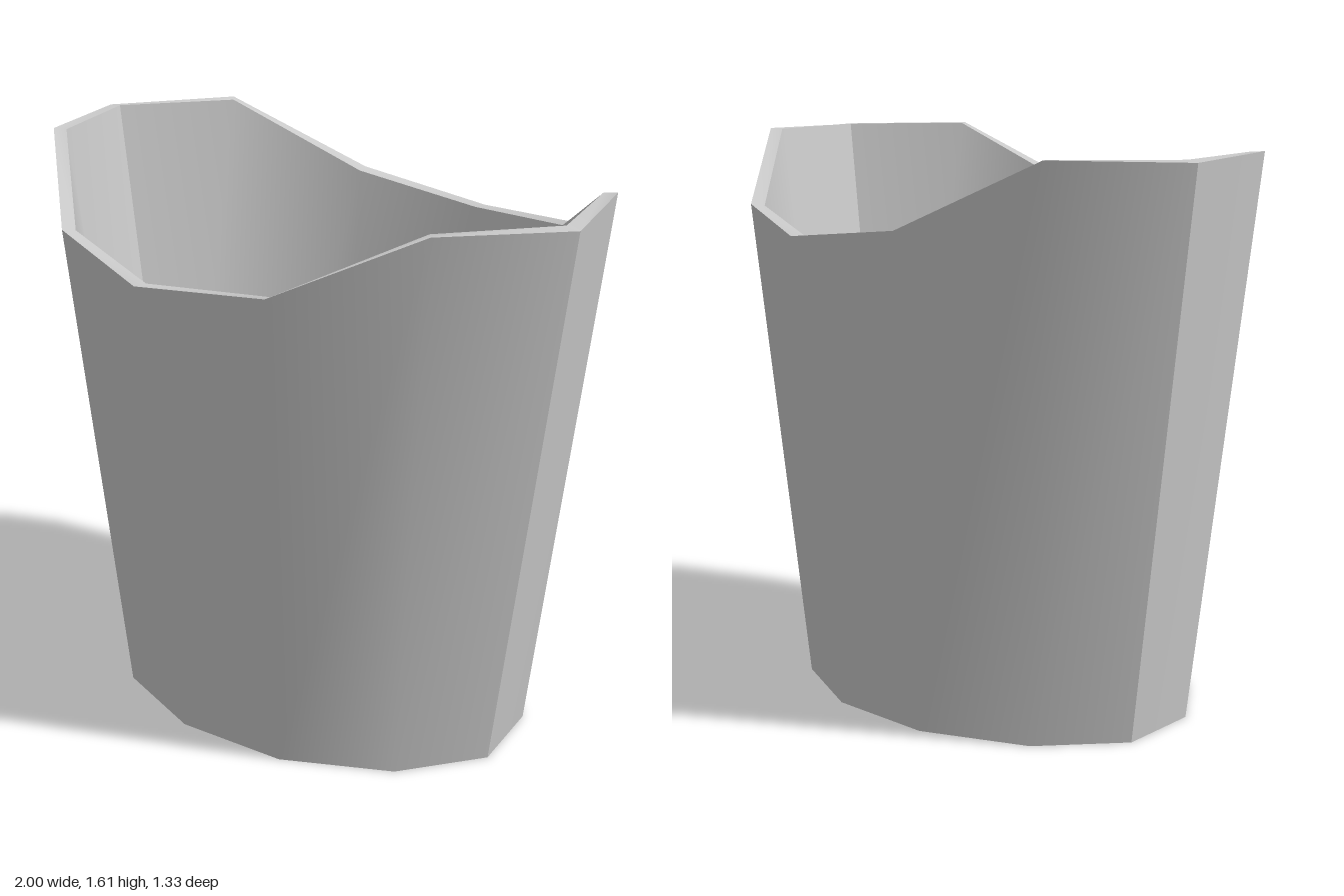
import * as THREE from 'three';
import { toCreasedNormals } from 'three/addons/utils/BufferGeometryUtils.js';

const SIDES = 12;

// Mirrors a quarter outline (from the +x tip to the +z middle) into a closed loop.
function ring(quarter) {
  return Array.from({ length: SIDES }, (_, k) => {
    const m = k % 6;
    const [x, y, z] = quarter[m > 3 ? 6 - m : m];
    const sx = k > 3 && k < 9 ? -1 : 1;
    const sz = k > 6 ? -1 : 1;
    return [x * sx, y, z * sz];
  });
}

// Skins successive rings; the first and last rings are single points.
function skin(rings) {
  const index = [];
  for (let j = 0; j < rings.length - 1; j++) {
    for (let i = 0; i < SIDES; i++) {
      const n = (i + 1) % SIDES;
      const a = j * SIDES + i, b = j * SIDES + n;
      const c = a + SIDES, d = b + SIDES;
      if (j > 0) index.push(a, c, b);
      if (j < rings.length - 2 || j === 0) index.push(b, c, d);
    }
  }
  const geometry = new THREE.BufferGeometry();
  geometry.setAttribute('position', new THREE.Float32BufferAttribute(rings.flat(2), 3));
  geometry.setIndex(index);
  return toCreasedNormals(geometry, THREE.MathUtils.degToRad(40));
}

export function createModel() {
  const group = new THREE.Group();
  group.name = 'bucket';
  const floor = 0.04;
  const centre = (y) => ring(Array(4).fill([0, y, 0]));

  // Flared oval tub: underside, outer wall, dipped rim, inner wall, floor
  const geometry = skin([
    centre(0),
    ring([[0.725, 0, 0], [0.613, 0, 0.257], [0.345, 0, 0.455], [0, 0, 0.525]]),
    ring([[1, 1.6, 0], [0.815, 1.607, 0.345], [0.45, 1.41, 0.58], [0, 1.36, 0.663]]),
    ring([[0.952, 1.605, 0], [0.785, 1.605, 0.32], [0.435, 1.405, 0.543], [0, 1.36, 0.622]]),
    ring([[0.682, floor, 0], [0.576, floor, 0.22], [0.325, floor, 0.388], [0, floor, 0.449]]),
    centre(floor),
  ]);
  const tub = new THREE.Mesh(geometry, new THREE.MeshStandardMaterial({ color: 0xcccccc }));
  tub.name = 'tub';
  group.add(tub);
  return group;
}
